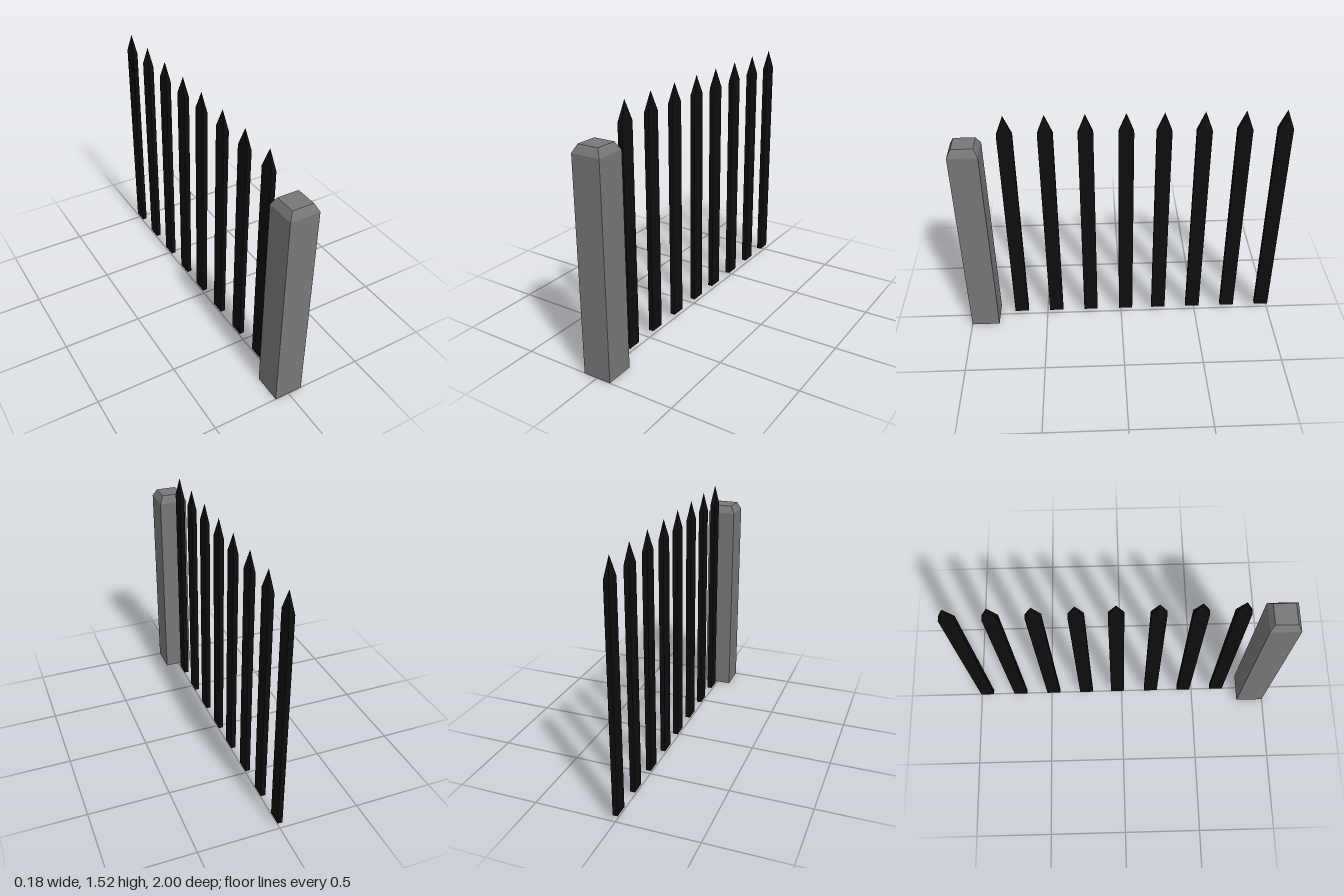
import * as THREE from 'three';

const stone = new THREE.MeshStandardMaterial({ color: 0x777777, flatShading: true });
stone.name = 'grey stone';
const iron = new THREE.MeshStandardMaterial({ color: 0x0d0d0d, flatShading: true });
iron.name = 'black iron';

// Four-sided prism, frustum or pyramid with its base at y = 0
function taper(bottom, top, height, depth = bottom) {
  const g = new THREE.CylinderGeometry(top / Math.SQRT2, bottom / Math.SQRT2, height, 4);
  g.rotateY(Math.PI / 4);
  g.scale(1, 1, depth / bottom);
  g.translate(0, height / 2, 0);
  return g;
}

function addPart(parent, name, geometry, material, y) {
  const mesh = new THREE.Mesh(geometry, material);
  mesh.name = name;
  mesh.position.y = y;
  parent.add(mesh);
}

export function createModel() {
  const model = new THREE.Group();
  model.name = 'fenceSection';

  // Square post with a bevelled cap
  const post = new THREE.Group();
  post.name = 'post';
  post.position.z = 0.91;
  addPart(post, 'postShaft', taper(0.18, 0.18, 1.3), stone, 0);
  addPart(post, 'postCap', taper(0.18, 0.13, 0.047), stone, 1.3);
  model.add(post);

  // Row of pointed pickets
  const bar = taper(0.03, 0.03, 1.36, 0.09);
  const tip = taper(0.03, 0, 0.12, 0.09);
  for (const z of [0.67, 0.437, 0.205, -0.03, -0.25, -0.483, -0.718, -0.954]) {
    const picket = new THREE.Group();
    picket.name = 'picket';
    picket.position.z = z;
    addPart(picket, 'picketBar', bar, iron, 0.04);
    addPart(picket, 'picketTip', tip, iron, 1.4);
    model.add(picket);
  }
  return model;
}
